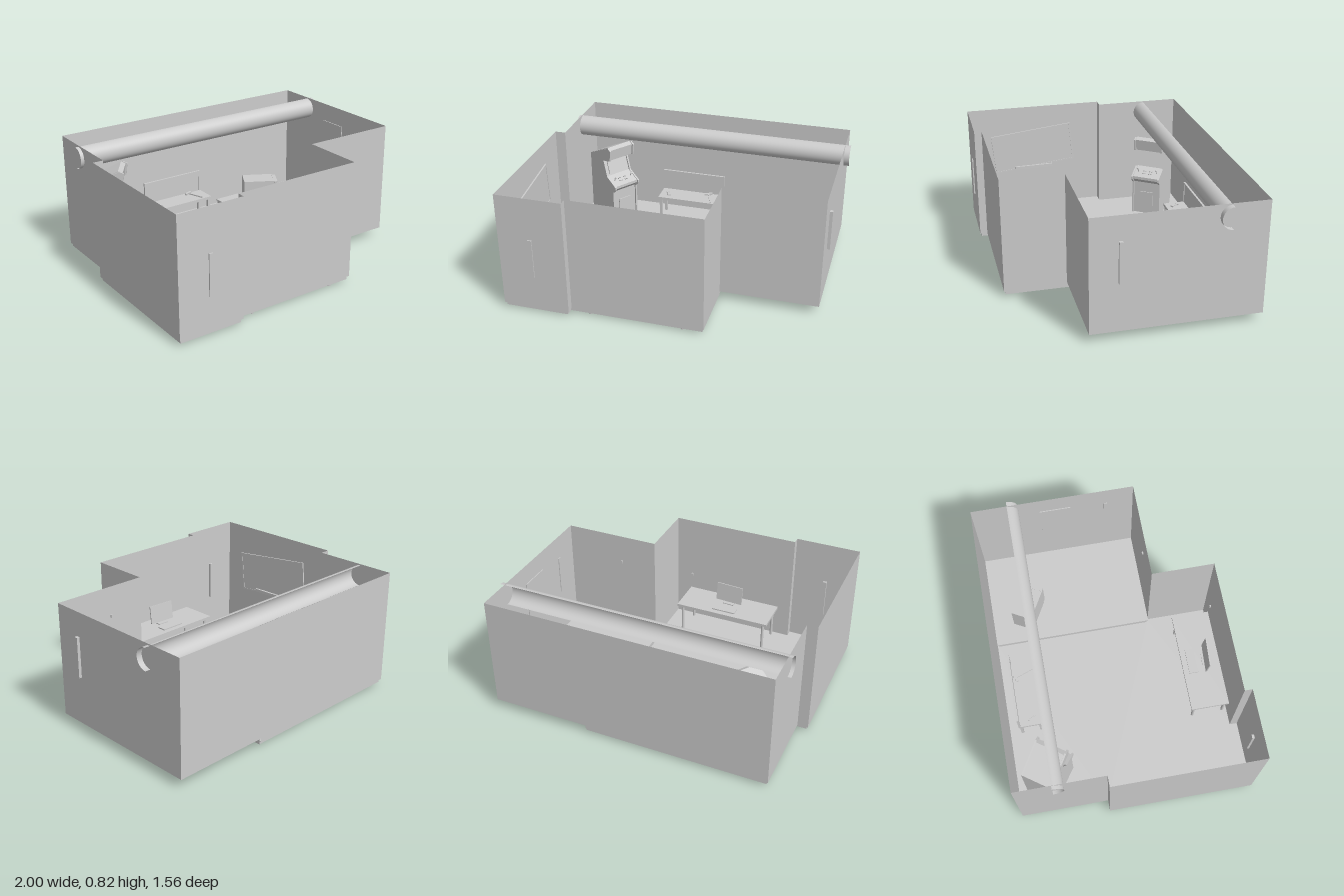
import * as THREE from 'three';

const mat = new THREE.MeshStandardMaterial({ color: 0xcccccc, side: THREE.DoubleSide });
const TOP = 0.82;

function add(parent, name, geo, x = 0, y = 0, z = 0) {
  const m = new THREE.Mesh(geo, mat);
  m.name = name;
  m.position.set(x, y, z);
  parent.add(m);
  return m;
}
const box = (parent, name, w, h, d, x, y, z) =>
  add(parent, name, new THREE.BoxGeometry(w, h, d), x, y, z);

function group(parent, name, x, y, z, turn = 0) {
  const g = new THREE.Group();
  g.name = name;
  g.position.set(x, y, z);
  g.rotation.y = turn;
  parent.add(g);
  return g;
}

// Horizontal slab from a plan outline of [x, z] points
function slab(parent, name, pts, y0, y1) {
  const s = new THREE.Shape(pts.map(([x, z]) => new THREE.Vector2(x, -z)));
  const g = new THREE.ExtrudeGeometry(s, { depth: y1 - y0, bevelEnabled: false });
  g.rotateX(-Math.PI / 2);
  add(parent, name, g, 0, y0, 0);
}

// Sheet wall between two plan points
function wall(parent, [x0, z0], [x1, z1], bottom) {
  const g = new THREE.PlaneGeometry(Math.hypot(x1 - x0, z1 - z0), TOP - bottom);
  const m = add(parent, 'wall', g, (x0 + x1) / 2, (TOP + bottom) / 2, (z0 + z1) / 2);
  m.rotation.y = -Math.atan2(z1 - z0, x1 - x0);
}

function room(parent) {
  const g = group(parent, 'room', 0, 0, 0);
  // Plan corners, with the lower edge of the wall that starts there
  const plan = [
    [-0.93, -0.78, 0.04], [0.3, -0.78, 0.065], [0.96, -0.78, 0.065], [0.96, 0.31, 0.065],
    [0.31, 0.31, 0.04], [0.31, 0.72, 0.04], [-0.56, 0.72, 0.04], [-0.56, 0.77, 0.04],
    [-1, 0.77, 0.04], [-1, -0.2, 0.04], [-0.93, -0.2, 0.04],
  ];
  plan.forEach((p, i) => wall(g, p, plan[(i + 1) % plan.length], p[2]));
  // Lower floor: inset base with a thin lip reaching the walls
  slab(g, 'lowerFloorBase', [[-0.92, -0.768], [0.3, -0.768], [0.3, 0.71], [-0.57, 0.71],
    [-0.57, 0.76], [-0.99, 0.76], [-0.99, -0.19], [-0.92, -0.19]], 0.015, 0.038);
  slab(g, 'lowerFloor', [[-0.93, -0.78], [0.3, -0.78], [0.3, 0.31], [0.31, 0.31], [0.31, 0.72],
    [-0.56, 0.72], [-0.56, 0.77], [-1, 0.77], [-1, -0.2], [-0.93, -0.2]], 0.038, 0.041);
  // Raised floor and the step leading to it
  slab(g, 'raisedFloor', [[0.29, -0.78], [0.96, -0.78], [0.96, 0.31], [0.29, 0.31]], 0.06, 0.07);
  box(g, 'step', 0.01, 0.045, 1.07, 0.295, 0.04, -0.235);
}

// Half-round duct, open toward the back
function duct(parent) {
  const g = new THREE.CylinderGeometry(0.072, 0.072, 1.95, 32, 1, true, -Math.PI / 2, Math.PI);
  const m = add(parent, 'halfRoundDuct', g, 0.022, 0.74, -0.54);
  m.rotation.z = Math.PI / 2;
}

// Arcade cabinet, its front along local +x
function arcade(parent) {
  const g = group(parent, 'arcadeCabinet', -0.705, 0.04, -0.55, -0.61);
  const side = [[-0.15, 0], [0.12, 0], [0.12, 0.25], [0.15, 0.28], [0.15, 0.3], [0.05, 0.35],
    [0.01, 0.47], [0.09, 0.49], [0.1, 0.57], [0.07, 0.585], [-0.15, 0.48]];
  const body = side.map(([x, y]) => new THREE.Vector2(x < 0 ? x : x - 0.012, y));
  const extrude = (pts, d) => new THREE.ExtrudeGeometry(new THREE.Shape(pts),
    { depth: d, bevelEnabled: false });
  add(g, 'cabinetBody', extrude(body, 0.19), 0, 0, -0.095);
  for (const z of [-0.107, 0.095])
    add(g, 'sidePanel', extrude(side.map(([x, y]) => new THREE.Vector2(x, y)), 0.012), 0, 0, z);
  box(g, 'screen', 0.008, 0.1, 0.15, 0.022, 0.41, 0).rotation.z = 0.32;
  box(g, 'coinDoor', 0.01, 0.11, 0.1, 0.11, 0.12, 0);
  // Sticks and buttons on the control panel
  const panel = group(g, 'controls', 0.09, 0.325, 0);
  panel.rotation.z = -0.46;
  for (const s of [-1, 1]) {
    add(panel, 'stick', new THREE.CylinderGeometry(0.003, 0.003, 0.03, 8), 0, 0.012, s * 0.07);
    add(panel, 'stickBall', new THREE.SphereGeometry(0.007, 10, 8), 0, 0.03, s * 0.07);
    for (let i = 0; i < 4; i++)
      add(panel, 'button', new THREE.CylinderGeometry(0.005, 0.005, 0.008, 10),
        i % 2 ? 0.015 : -0.01, 0.003, s * (0.015 + 0.015 * Math.floor(i / 2)));
  }
}

// Low cupboard on the raised floor, its front along local +x
function cupboard(parent) {
  const g = group(parent, 'lowCupboard', 0.505, 0.055, -0.515, -0.5);
  box(g, 'cupboardBody', 0.22, 0.2, 0.145, -0.015, 0.125, 0);
  box(g, 'cupboardDoor', 0.025, 0.19, 0.14, 0.11, 0.125, 0);
  box(g, 'doorHandle', 0.008, 0.07, 0.008, 0.126, 0.15, 0.05);
  for (const x of [-0.11, 0.08])
    for (const z of [-0.055, 0.055])
      add(g, 'foot', new THREE.CylinderGeometry(0.008, 0.008, 0.03, 10), x, 0.014, z);
}

// Workbench with a framed back board and two tools
function workbench(parent) {
  const g = group(parent, 'workbench', -0.142, 0, -0.63);
  box(g, 'benchTop', 0.465, 0.02, 0.16, 0, 0.21, 0);
  box(g, 'backBoard', 0.445, 0.16, 0.008, 0, 0.29, -0.075);
  box(g, 'boardTopRail', 0.465, 0.012, 0.014, 0, 0.368, -0.073);
  for (const s of [-1, 1]) {
    box(g, 'boardPost', 0.012, 0.16, 0.014, s * 0.227, 0.29, -0.073);
    for (const z of [-0.065, 0.065])
      box(g, 'benchLeg', 0.018, 0.19, 0.018, s * 0.215, 0.105, z);
  }
  const hammer = group(g, 'hammer', 0.14, 0.226, 0.01, 0.35);
  box(hammer, 'hammerHandle', 0.009, 0.009, 0.13, 0, 0, 0);
  box(hammer, 'hammerHead', 0.06, 0.014, 0.016, 0, 0, -0.065);
  const spanner = group(g, 'spanner', -0.175, 0.226, 0.015, 0.5);
  box(spanner, 'spannerBar', 0.01, 0.008, 0.045, 0, 0, 0);
  for (const z of [-0.025, 0.025]) box(spanner, 'spannerEnd', 0.025, 0.008, 0.012, 0, 0, z);
}

// Desk with tilted monitor
function desk(parent) {
  const g = group(parent, 'desk', -0.137, 0, 0.58);
  box(g, 'deskTop', 0.675, 0.018, 0.255, 0, 0.266, 0);
  for (const x of [-0.305, 0.305])
    for (const z of [-0.1, 0.11])
      add(g, 'deskLeg', new THREE.CylinderGeometry(0.01, 0.01, 0.26, 12), x, 0.13, z);
  const monitor = group(g, 'monitor', 0, 0.275, 0.035, -0.06);
  box(monitor, 'monitorPanel', 0.195, 0.13, 0.008, 0, 0.08, 0).rotation.x = 0.12;
  box(monitor, 'monitorFoot', 0.08, 0.006, 0.05, 0, 0.003, 0);
  box(g, 'keyboard', 0.17, 0.008, 0.06, 0, 0.279, -0.06);
}

function wallItems(parent) {
  // Leaning board and its tray on the right-hand wall
  const board = group(parent, 'wallBoard', -0.982, 0.5, 0.3, 0.035);
  board.rotation.x = 0.1;
  box(board, 'boardSheet', 0.004, 0.28, 0.59, 0, 0, 0);
  for (const s of [-1, 1]) {
    box(board, 'boardRail', 0.01, 0.01, 0.6, 0, s * 0.14, 0);
    box(board, 'boardStile', 0.01, 0.28, 0.01, 0, 0, s * 0.295);
  }
  box(parent, 'boardTray', 0.015, 0.02, 0.28, -0.962, 0.36, 0.3).rotation.y = 0.04;
  // Poster on the opposite wall
  box(parent, 'poster', 0.006, 0.28, 0.21, 0.945, 0.56, -0.225);
  // Narrow strips set through the walls
  box(parent, 'sideWallStrip', 0.025, 0.27, 0.024, 0.967, 0.522, 0.122);
  box(parent, 'frontWallStrip', 0.025, 0.27, 0.024, -0.785, 0.397, 0.766);
  // Small hooks
  box(parent, 'hook', 0.012, 0.02, 0.01, 0.56, 0.62, 0.303);
  box(parent, 'hook', 0.012, 0.02, 0.01, 0.195, 0.38, 0.713);
}

export function createModel() {
  const model = new THREE.Group();
  model.name = 'gameRoom';
  for (const build of [room, duct, arcade, cupboard, workbench, desk, wallItems]) build(model);
  return model;
}
